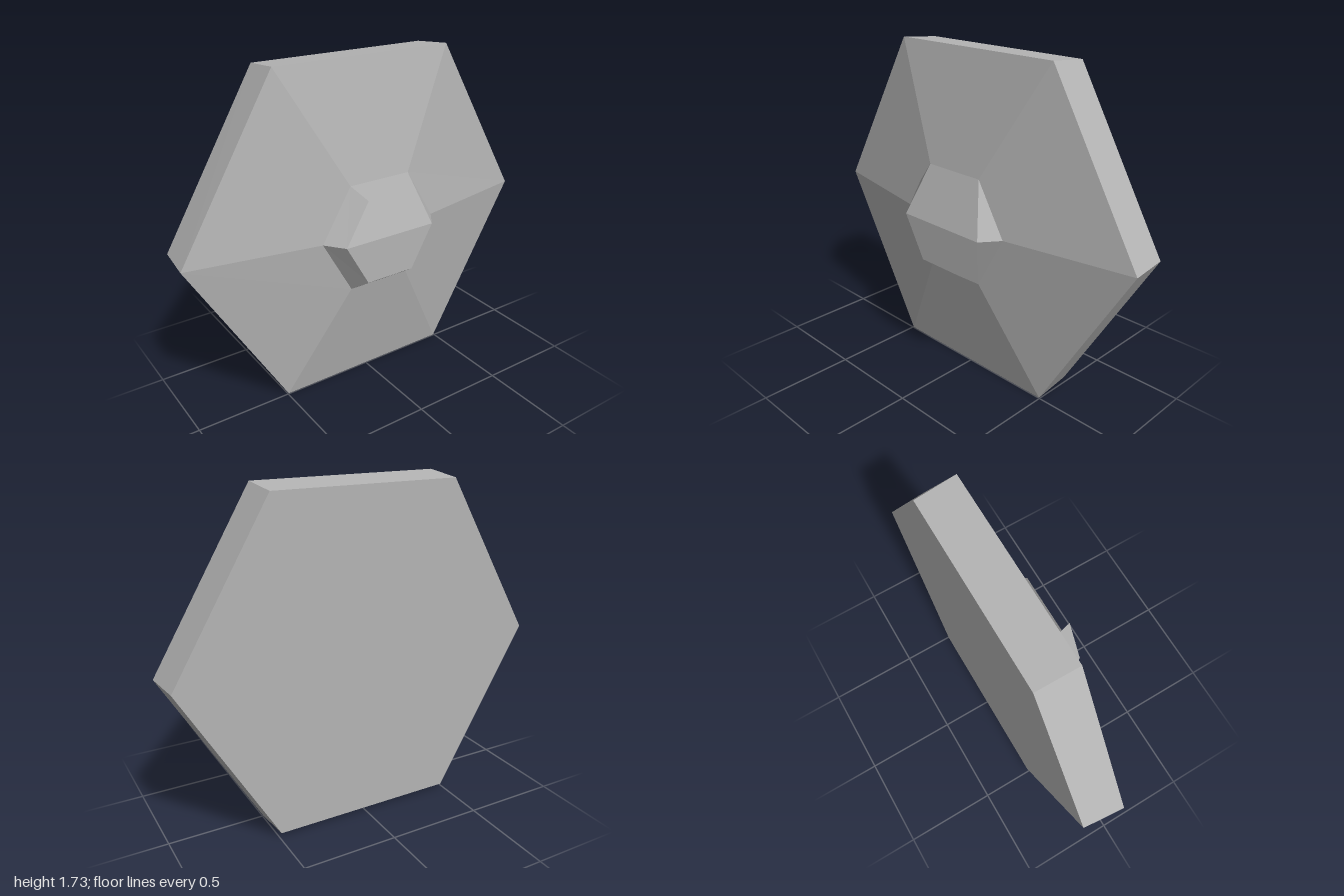
import * as THREE from 'three';

const MID = 0.876; // height of the side corners

// Hexagon ring, counter-clockwise from the +x corner
function hexRing(side, half, low, high, z) {
  return [
    [side, MID, z], [half, high, z], [-half, high, z],
    [-side, MID, z], [-half, low, z], [half, low, z],
  ];
}

function facets(name, polygons, material) {
  const points = [];
  for (const p of polygons) {
    for (let i = 1; i < p.length - 1; i++) points.push(...p[0], ...p[i], ...p[i + 1]);
  }
  const geometry = new THREE.BufferGeometry();
  geometry.setAttribute('position', new THREE.Float32BufferAttribute(points, 3));
  geometry.computeVertexNormals();
  const mesh = new THREE.Mesh(geometry, material);
  mesh.name = name;
  return mesh;
}

// Quads joining a rear ring to a ring in front of it
function band(rear, front) {
  return rear.map((p, i) => {
    const j = (i + 1) % rear.length;
    return [p, rear[j], front[j], front[i]];
  });
}

export function createModel() {
  const grey = new THREE.MeshStandardMaterial({ color: 0xb4b4b4, flatShading: true, side: THREE.DoubleSide });
  grey.name = 'grey';

  const back = hexRing(0.98, 0.488, 0.02, 1.71, -0.218);
  const rim = hexRing(1, 0.495, 0, 1.73, -0.003);
  const neck = hexRing(0.333, 0.172, 0.586, 1.144, 0.12);
  const tip = hexRing(0.26, 0.135, 0.654, 1.092, 0.218);

  const group = new THREE.Group();
  group.name = 'hexagonalPlate';
  group.add(facets('backPanel', [[...back].reverse()], grey));
  group.add(facets('rimWall', band(back, rim), grey));
  group.add(facets('slopedFace', band(rim, neck), grey));

  // Raised boss: full walls except at the top right, where the corner is cut down to the neck
  const walls = band(neck, tip);
  walls[0] = [neck[0], neck[1], tip[0]];
  walls.splice(1, 1);
  group.add(facets('bossWalls', walls, grey));
  group.add(facets('bossCap', [
    [tip[3], tip[4], tip[5], tip[0]],
    [tip[3], tip[0], neck[1], neck[2]],
  ], grey));
  return group;
}
